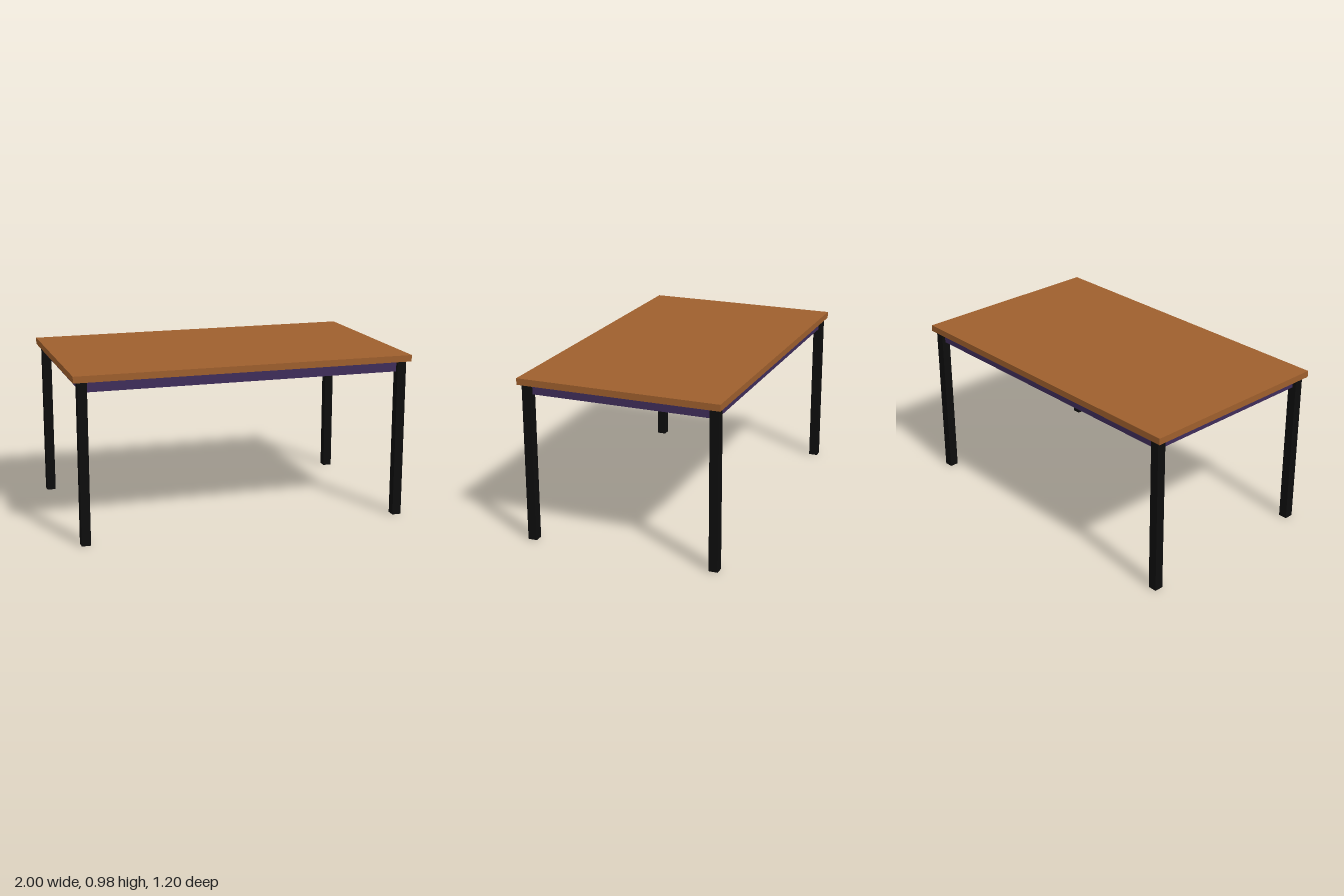
import * as THREE from 'three';

const material = (name, color) => {
  const m = new THREE.MeshStandardMaterial({ color });
  m.name = name;
  return m;
};

export function createModel() {
  const table = new THREE.Group();
  table.name = 'table';

  const wood = material('brown wood', 0x9e5f2d);
  const purple = material('dark purple', 0x3f2d5a);
  const black = material('black', 0x0d0d0d);

  // Box centred on (x, z), spanning y0 to y1
  const addBox = (name, mat, width, depth, y0, y1, x = 0, z = 0) => {
    const mesh = new THREE.Mesh(new THREE.BoxGeometry(width, y1 - y0, depth), mat);
    mesh.name = name;
    mesh.position.set(x, (y0 + y1) / 2, z);
    table.add(mesh);
  };

  // Top slab and the solid apron under it
  addBox('tableTop', wood, 2, 1.195, 0.937, 0.975);
  addBox('apron', purple, 1.9, 1.12, 0.875, 0.937);

  // Four square legs, overlapping the apron corners
  for (const [side, sx] of [['Left', 1], ['Right', -1]]) {
    for (const [end, sz] of [['front', 1], ['back', -1]]) {
      addBox(`${end}${side}Leg`, black, 0.053, 0.053, 0, 0.931, sx * 0.947, sz * 0.554);
    }
  }

  return table;
}
